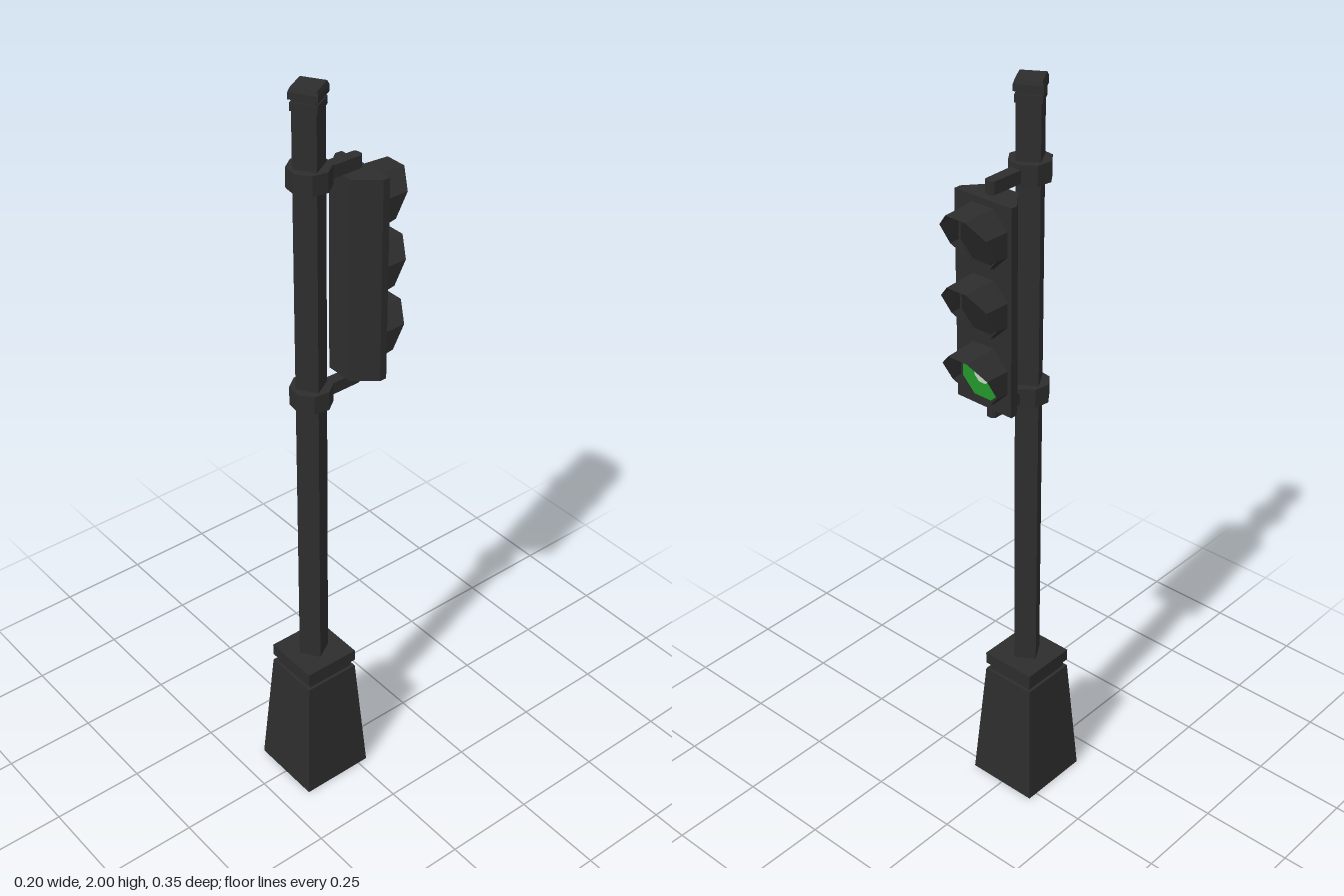
import * as THREE from 'three';

export function createModel() {
  const model = new THREE.Group();
  model.name = 'trafficLight';
  const opts = { flatShading: true, side: THREE.DoubleSide };
  const material = (name, color) => {
    const m = new THREE.MeshStandardMaterial({ color, ...opts });
    m.name = name;
    return m;
  };
  const metal = material('darkMetal', 0x2d2d2d);
  const unlit = material('unlitLens', 0x222222);
  const green = material('greenLens', 0x22962a);
  const pale = material('paleGlow', 0xc4d4c4);

  const poleZ = 0.073;
  const add = (name, geometry, mat = metal, parent = model) => {
    const mesh = new THREE.Mesh(geometry, mat);
    mesh.name = name;
    parent.add(mesh);
    return mesh;
  };
  // Upright prism or frustum around the pole axis, between two heights
  const post = (name, sides, turn, r0, r1, y0, y1) => {
    const g = new THREE.CylinderGeometry(r1, r0, y1 - y0, sides, 1, false, turn);
    add(name, g).position.set(0, (y0 + y1) / 2, poleZ);
  };

  // Square tapered foot with neck and collar
  const q = Math.PI / 4, s = Math.SQRT2;
  post('base', 4, q, 0.101 * s, 0.077 * s, 0, 0.347);
  post('baseNeck', 4, q, 0.069 * s, 0.069 * s, 0.347, 0.367);
  post('baseCollar', 4, q, 0.077 * s, 0.077 * s, 0.367, 0.4);

  // Square pole, turned slightly, with a stepped finial
  const turn = -0.24;
  post('pole', 4, turn, 0.041, 0.041, 0.4, 1.95);
  post('finialRing', 4, turn, 0.045, 0.045, 1.947, 1.966);
  post('finialNeck', 4, turn, 0.041, 0.041, 1.966, 1.974);
  post('finialCap', 4, turn, 0.049, 0.049, 1.974, 1.99);
  post('finialTop', 4, turn, 0.049, 0.044, 1.99, 2);

  // Clamps and round-ended arms
  const arm = new THREE.Shape();
  arm.moveTo(-0.016, -poleZ);
  arm.lineTo(0.016, -poleZ);
  arm.lineTo(0.014, 0.063);
  arm.lineTo(0.007, 0.07);
  arm.lineTo(-0.007, 0.07);
  arm.lineTo(-0.014, 0.063);
  arm.closePath();
  for (const [clampY, armY] of [[1.187, 1.195], [1.76, 1.766]]) {
    post('clamp', 8, 0.25, 0.053, 0.053, clampY, clampY + 0.05);
    const g = new THREE.ExtrudeGeometry(arm, { depth: 0.032, bevelEnabled: false });
    add('arm', g.rotateX(-Math.PI / 2)).position.y = armY;
  }

  // Signal housing, tapered towards the pole
  const outline = new THREE.Shape([
    [-0.038, 0.012], [0.038, 0.012], [0.085, 0.068], [0.085, 0.087], [-0.085, 0.087], [-0.085, 0.068],
  ].map(([x, y]) => new THREE.Vector2(x, y)));
  const housing = new THREE.ExtrudeGeometry(outline, { depth: 0.53, bevelEnabled: false });
  add('housing', housing.rotateX(-Math.PI / 2)).position.y = 1.233;

  // Three lamps, each a lens under a slanted eight-sided visor
  const cos8 = Math.cos(Math.PI / 8);
  const disc = (r, h) =>
    new THREE.CylinderGeometry(r, r, h, 8, 1, false, Math.PI / 8).rotateX(-Math.PI / 2);
  ['topLamp', 'middleLamp', 'bottomLamp'].forEach((name, i) => {
    const lamp = new THREE.Group();
    lamp.name = name;
    lamp.position.y = 1.673 - i * 0.175;
    model.add(lamp);

    const visor = new THREE.CylinderGeometry(0.07 / cos8, 0.074 / cos8, 0.1, 8, 1, true, Math.PI / 8);
    visor.rotateX(-Math.PI / 2);
    const p = visor.attributes.position;
    for (let k = 0; k < p.count; k++) {
      p.setZ(k, p.getZ(k) < 0 ? -0.136 - 0.58 * p.getY(k) : -0.085);
    }
    add('visor', visor, metal, lamp);

    const lit = i === 2;
    add('lens', disc(0.068, 0.006), lit ? green : unlit, lamp).position.z = -0.089;
    if (lit) add('lensGlow', disc(0.026, 0.004), pale, lamp).position.z = -0.0915;
  });

  return model;
}
